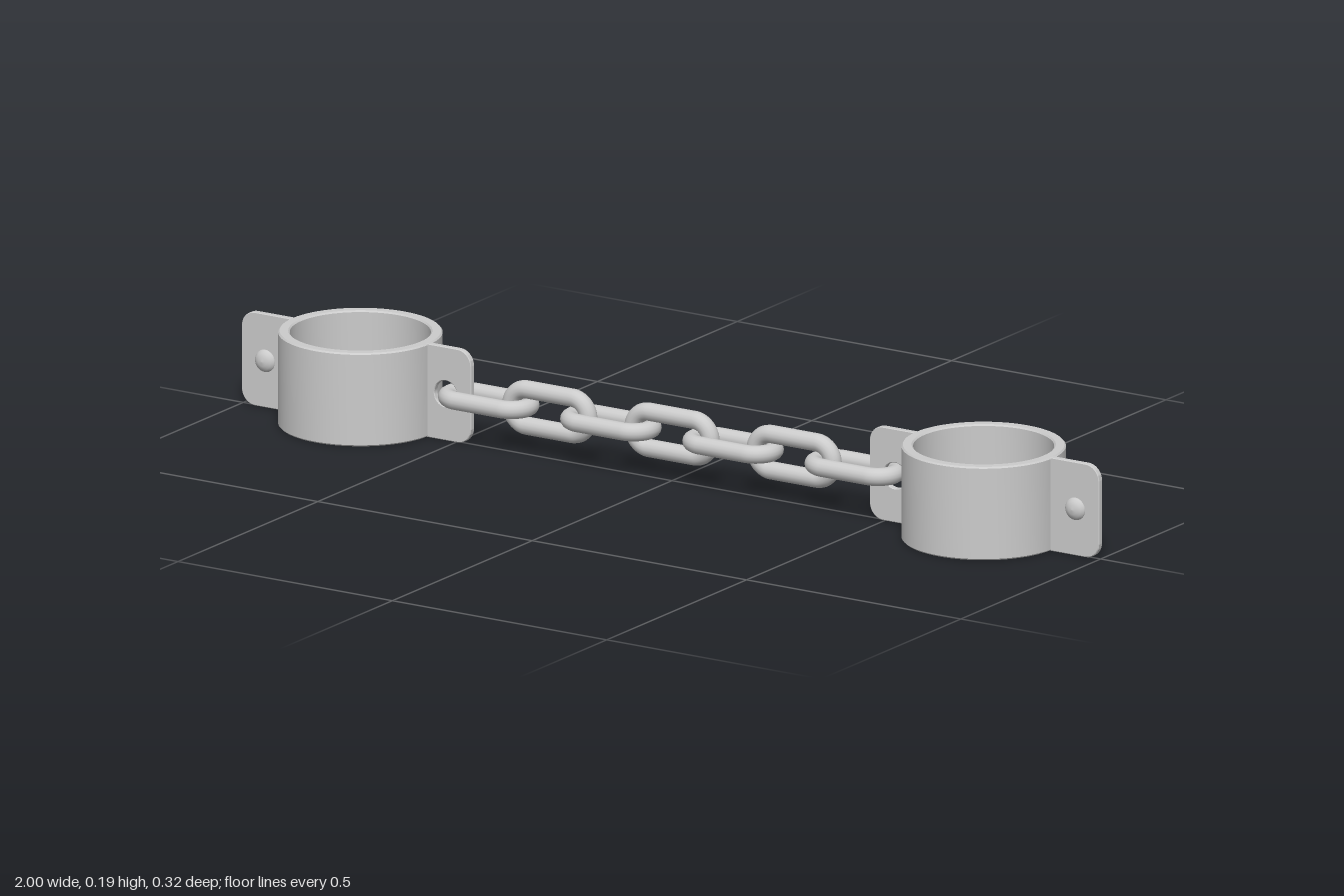
import * as THREE from 'three';
import { toCreasedNormals } from 'three/addons/utils/BufferGeometryUtils.js';

const HEIGHT = 0.19, MID = HEIGHT / 2, CUFF_X = 0.727;
const OUTER = 0.161, INNER = 0.138, PLATE = 0.013;
const metal = new THREE.MeshStandardMaterial({ color: 0xcccccc });

function part(name, geometry) {
  const mesh = new THREE.Mesh(geometry, metal);
  mesh.name = name;
  return mesh;
}

// Closed ring with finely chamfered rims
function cuffRing() {
  const c = 0.003;
  const profile = [
    [INNER, c], [INNER + c, 0], [OUTER - c, 0], [OUTER, c],
    [OUTER, HEIGHT - c], [OUTER - c, HEIGHT], [INNER + c, HEIGHT], [INNER, HEIGHT - c], [INNER, c],
  ].map(([r, y]) => new THREE.Vector2(r, y));
  return toCreasedNormals(new THREE.LatheGeometry(profile, 72), 0.5);
}

// Upright plate along +x with rounded outer corners and an optional round hole
function flange(reach, holeX) {
  const x0 = 0.15, r = 0.03, b = 0.0015;
  const x1 = reach - b, y0 = b, y1 = HEIGHT - b;
  const s = new THREE.Shape();
  s.moveTo(x0, y0);
  s.lineTo(x1 - r, y0);
  s.absarc(x1 - r, y0 + r, r, -Math.PI / 2, 0, false);
  s.absarc(x1 - r, y1 - r, r, 0, Math.PI / 2, false);
  s.lineTo(x0, y1);
  s.closePath();
  if (holeX) s.holes.push(new THREE.Path().absarc(holeX, MID, 0.028, 0, Math.PI * 2, true));
  const g = new THREE.ExtrudeGeometry(s, {
    depth: PLATE - 2 * b, bevelThickness: b, bevelSize: b, bevelSegments: 1, curveSegments: 14,
  });
  g.translate(0, 0, -PLATE / 2 + b);
  return toCreasedNormals(g, 0.5);
}

// Rivet with a domed head on both faces of the plate, axis along z
function rivet() {
  const points = [[0, -0.019], [0.009, -0.0178], [0.017, -0.0145], [0.022, -0.009], [0.023, -0.006]];
  const profile = [...points, ...points.map(([r, y]) => [r, -y]).reverse()]
    .map(([r, y]) => new THREE.Vector2(r, y));
  return new THREE.LatheGeometry(profile, 28).rotateX(Math.PI / 2);
}

// Cuff with its riveted flange on +x and its chain flange on -x
function cuff(name) {
  const g = new THREE.Group();
  g.name = name;
  const chainFlange = part('chainFlange', flange(0.262, 0.203));
  chainFlange.rotation.y = Math.PI;
  const pin = part('rivet', rivet());
  pin.position.set(0.218, MID, 0);
  g.add(part('ring', cuffRing()), part('rivetedFlange', flange(0.273)), chainFlange, pin);
  return g;
}

// Oval link lying in the xz plane
function linkGeometry() {
  const half = 0.053, bend = 0.037, wire = 0.018;
  const path = new THREE.CurvePath();
  const v = (x, z) => new THREE.Vector3(x, 0, z);
  const k = bend * 0.5523;
  for (const s of [1, -1]) {
    path.add(new THREE.LineCurve3(v(-s * half, -s * bend), v(s * half, -s * bend)));
    path.add(new THREE.CubicBezierCurve3(
      v(s * half, -s * bend), v(s * (half + k), -s * bend), v(s * (half + bend), -s * k), v(s * (half + bend), 0)));
    path.add(new THREE.CubicBezierCurve3(
      v(s * (half + bend), 0), v(s * (half + bend), s * k), v(s * (half + k), s * bend), v(s * half, s * bend)));
  }
  return new THREE.TubeGeometry(path, 96, wire, 16, true);
}

export function createModel() {
  const model = new THREE.Group();
  model.name = 'shackles';

  const left = cuff('leftCuff');
  left.position.x = CUFF_X;
  const right = cuff('rightCuff');
  right.position.x = -CUFF_X;
  right.rotation.y = Math.PI;

  // Seven links, alternately flat and upright
  const chain = new THREE.Group();
  chain.name = 'chain';
  const geometry = linkGeometry();
  for (let i = -3; i <= 3; i++) {
    const link = part('chainLink', geometry);
    link.position.set(i * 0.1425, MID, 0);
    if (i % 2 === 0) link.rotation.x = Math.PI / 2;
    chain.add(link);
  }

  model.add(left, right, chain);
  return model;
}
